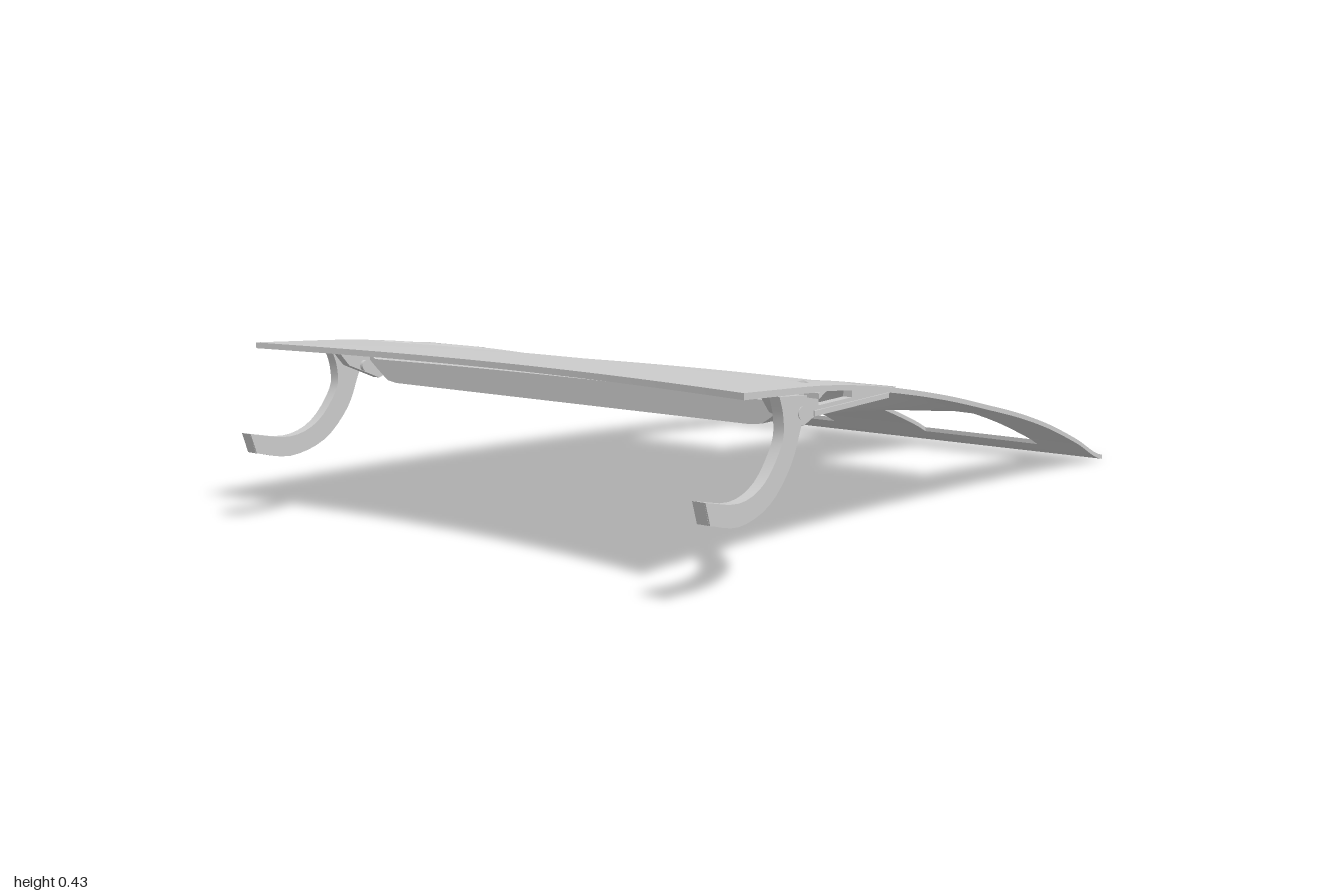
import * as THREE from 'three';
import { toCreasedNormals } from 'three/addons/utils/BufferGeometryUtils.js';

const { lerp, clamp, smoothstep } = THREE.MathUtils;
const material = new THREE.MeshStandardMaterial({ color: 0xcccccc, roughness: 0.7 });

// Smooth height curve with evenly spaced knots from z0 to z1
function heightCurve(z0, z1, heights) {
  const curve = new THREE.SplineCurve(heights.map((y, i) => new THREE.Vector2(i, y)));
  return z => curve.getPoint(clamp((z - z0) / (z1 - z0), 0, 1)).y;
}
const skinProfile = heightCurve(-1, 1, [0.012, 0.092, 0.165, 0.225, 0.275, 0.322, 0.362, 0.395, 0.418, 0.43, 0.438]);
const panProfile = heightCurve(-0.4, 0.6, [0.212, 0.236, 0.264, 0.288, 0.305, 0.315]);

const halfWidth = z => 0.67 + 0.0235 * (z + 1);
const frontEdge = x => 0.85 + 0.068 * (x / 0.715) ** 2;
const outerSkin = (x, z) => skinProfile(z) - 0.012 * (x / 0.7) ** 2 * (1 - z * z);

// Half-width of the middle field; it flares out around the air slot
const fieldWidth = z => lerp(0.6, 0.665, clamp((z - 0.52) / 0.08, 0, 1));

// Middle field sinks towards the slot, then ramps down under the cowl flap
function bodyTop(x, z) {
  const b = fieldWidth(z);
  const inside = 1 - smoothstep(Math.abs(x), b - 0.06, b);
  const sink = 0.024 * smoothstep(z, -0.1, 0.52) + 0.021 * clamp((z - 0.52) / 0.08, 0, 1);
  const tuck = z > 0.605 ? 0.016 * (1 - inside) : 0;
  return outerSkin(x, z) - sink * inside - tuck;
}

// Underside: thin at the rim, with a deep inner pan and a shallow recess
function bodyBottom(x, z) {
  const a = Math.abs(x);
  const thin = bodyTop(x, z) - 0.012;
  const pan = (1 - smoothstep(a, 0.55, 0.63)) * smoothstep(z, -0.44, -0.38);
  const recess = 0.008 * (1 - smoothstep(a, 0.36, 0.42)) * smoothstep(z, -0.25, -0.19) * (1 - smoothstep(z, 0.38, 0.44));
  return Math.min(thin, lerp(thin, panProfile(z) + recess, pan));
}

// Closed slab over a grid: point(i, j) gives [x, z], skipped cells become holes
function slab(rows, cols, point, top, bottom, skip = () => false) {
  const out = [];
  const quad = (...p) => [0, 1, 2, 0, 2, 3].forEach(k => out.push(...p[k]));
  const open = (i, j) => i < 0 || j < 0 || i >= rows || j >= cols || skip(i, j);
  const at = (i, j, f) => {
    const [x, z] = point(i, j);
    return [x, f(x, z), z];
  };
  for (let i = 0; i < rows; i++) for (let j = 0; j < cols; j++) {
    if (skip(i, j)) continue;
    const ring = [[i, j], [i + 1, j], [i + 1, j + 1], [i, j + 1]];
    const t = ring.map(c => at(...c, top));
    const b = ring.map(c => at(...c, bottom));
    quad(...t);
    quad(b[3], b[2], b[1], b[0]);
    // Walls along the outer border and around holes
    [[i, j - 1], [i + 1, j], [i, j + 1], [i - 1, j]].forEach((n, k) => {
      const m = (k + 1) % 4;
      if (open(...n)) quad(t[k], b[k], b[m], t[m]);
    });
  }
  const geo = new THREE.BufferGeometry();
  geo.setAttribute('position', new THREE.Float32BufferAttribute(out, 3));
  return toCreasedNormals(geo, 0.35);
}

// Evenly divided steps between the given stops
function steps(stops, size) {
  const list = [stops[0]];
  for (let i = 1; i < stops.length; i++) {
    const n = Math.max(1, Math.round((stops[i] - stops[i - 1]) / size));
    for (let k = 1; k <= n; k++) list.push(lerp(stops[i - 1], stops[i], k / n));
  }
  return list;
}

// Column values up to 0.6 lie in the middle field, 0.6 to 0.7 in the flank
const half = steps([0, 0.16, 0.175, 0.51, 0.525, 0.55, 0.6, 0.7], 0.025);
const columns = [...half.slice(1).reverse().map(v => -v), ...half];
function columnX(c, z) {
  const a = Math.abs(c), b = fieldWidth(z);
  const x = a <= 0.6 ? a * b / 0.6 : lerp(b, halfWidth(z), (a - 0.6) / 0.1);
  return Math.sign(c) * x;
}

function plate(name, outline, holes, x, thickness) {
  const toPoints = list => list.map(p => new THREE.Vector2(...p));
  const shape = new THREE.Shape(toPoints(outline));
  holes.forEach(h => shape.holes.push(new THREE.Path(toPoints(h))));
  const geo = new THREE.ExtrudeGeometry(shape, { depth: thickness, bevelEnabled: false });
  geo.rotateY(-Math.PI / 2).translate(x + thickness / 2, 0, 0);
  const mesh = new THREE.Mesh(toCreasedNormals(geo, 0.5), material);
  mesh.name = name;
  return mesh;
}

function hinge(side) {
  const group = new THREE.Group();
  group.name = side > 0 ? 'leftHinge' : 'rightHinge';
  // Curved gooseneck arm
  const path = pts => new THREE.SplineCurve(pts.map(p => new THREE.Vector2(...p))).getPoints(20).map(p => [p.x, p.y]);
  const lower = path([[0.985, 0.178], [0.88, 0.155], [0.77, 0.18], [0.69, 0.25], [0.65, 0.33], [0.62, 0.39]]);
  const upper = path([[0.735, 0.4], [0.72, 0.355], [0.725, 0.3], [0.79, 0.228], [0.88, 0.203], [1, 0.226]]);
  group.add(plate('hingeArm', [...lower, ...upper], [], side * 0.665, 0.026));
  // Tip block
  group.add(plate('hingeTip', [[0.984, 0.177], [1, 0.226], [0.93, 0.21], [0.92, 0.163]], [], side * 0.665, 0.032));
  // Mounting bracket under the flank
  group.add(plate('hingeBracket',
    [[0.74, 0.405], [0.7, 0.36], [0.6, 0.318], [0.55, 0.335], [0.25, 0.335], [0.2, 0.355], [0.4, 0.388], [0.55, 0.402]],
    [[[0.54, 0.355], [0.54, 0.385], [0.4, 0.373], [0.4, 0.355]]], side * 0.64, 0.022));
  // Flange and pivot pin
  const flange = new THREE.Mesh(new THREE.BoxGeometry(0.05, 0.012, 0.32), material);
  flange.name = 'hingeFlange';
  flange.position.set(side * 0.63, 0.34, 0.4);
  const pin = new THREE.Mesh(new THREE.CylinderGeometry(0.014, 0.014, 0.06, 16), material);
  pin.name = 'hingePin';
  pin.rotation.z = Math.PI / 2;
  pin.position.set(side * 0.65, 0.355, 0.65);
  group.add(flange, pin);
  return group;
}

export function createModel() {
  const model = new THREE.Group();
  model.name = 'curvedLid';

  // Main panel with two rear openings
  const zs = steps([-1, -0.87, -0.855, -0.465, -0.45, -0.44, -0.38, 0.52, 0.6, 0.63], 0.03);
  const inWindow = (i, j) => {
    const z = (zs[i] + zs[i + 1]) / 2, x = Math.abs(columns[j] + columns[j + 1]) / 2;
    return z > -0.87 && z < -0.45 && x > 0.16 && x < 0.525;
  };
  const panel = new THREE.Mesh(slab(zs.length - 1, columns.length - 1,
    (i, j) => [columnX(columns[j], zs[i]), zs[i]], bodyTop, bodyBottom, inWindow), material);
  panel.name = 'mainPanel';

  // Cowl flap ahead of the slot with a bowed front edge
  const flapRows = 12;
  const flap = new THREE.Mesh(slab(flapRows, columns.length - 1, (i, j) => {
    const t = i / flapRows;
    const x = columnX(columns[j], 0.6 + 0.318 * t);
    return [x, lerp(0.6, frontEdge(x), t)];
  }, outerSkin, (x, z) => outerSkin(x, z) - 0.014), material);
  flap.name = 'cowlFlap';

  model.add(panel, flap, hinge(1), hinge(-1));
  return model;
}
